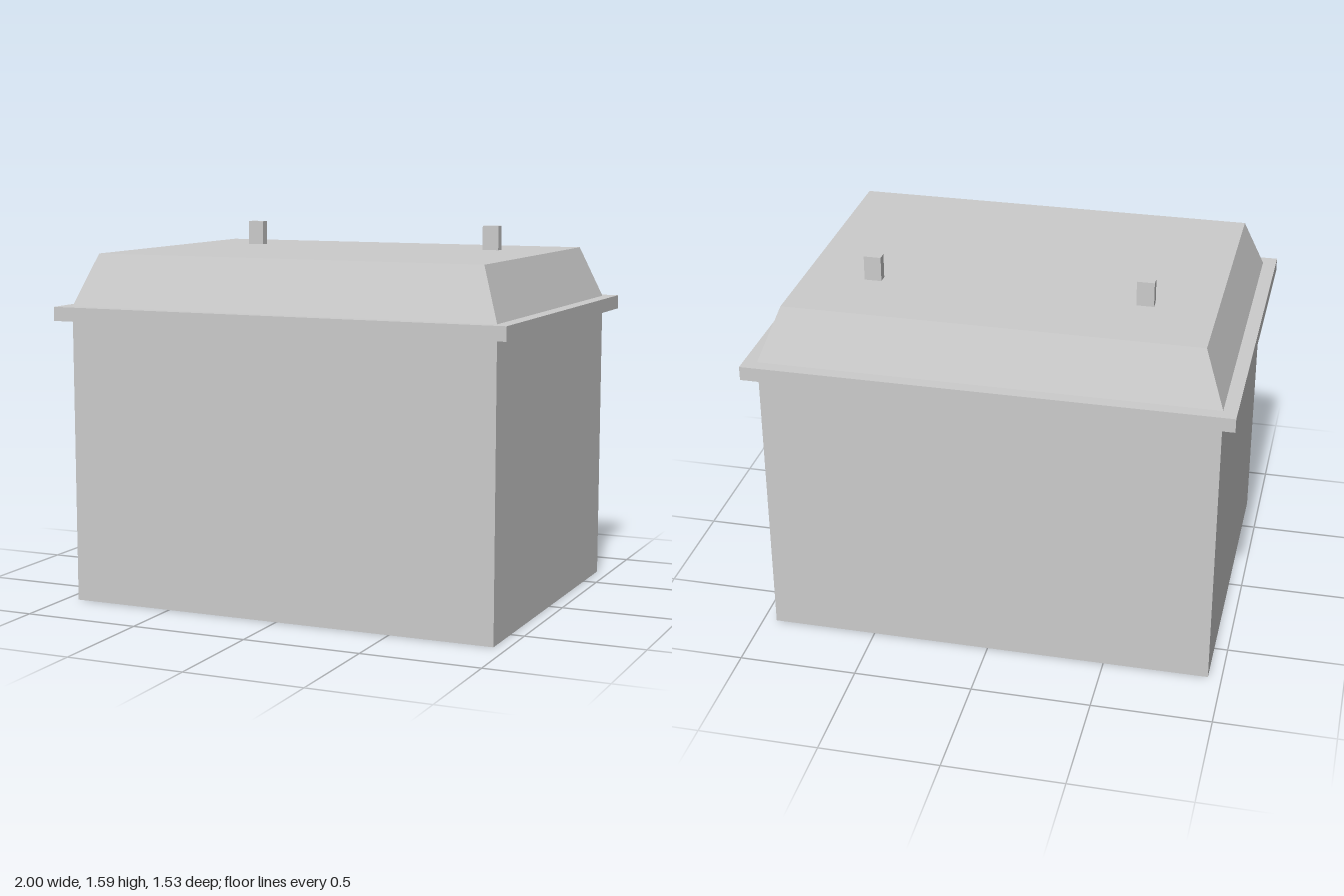
import * as THREE from 'three';

// Box from y0 to y1 whose top may be narrower; skip lists the sides left open
// (box side order: 0 +x, 1 -x, 2 top, 3 bottom, 4 +z, 5 -z).
function taperedBox(width, depth, y0, y1, topWidth = width, topDepth = depth, skip = []) {
  const box = new THREE.BoxGeometry(width, y1 - y0, depth);
  box.translate(0, (y0 + y1) / 2, 0);
  const kept = Array.from(box.index.array).filter((_, i) => !skip.includes(Math.floor(i / 6)));
  box.setIndex(kept);
  box.clearGroups();
  const p = box.attributes.position;
  const middle = (y0 + y1) / 2;
  for (let i = 0; i < p.count; i++) {
    if (p.getY(i) > middle) {
      p.setX(i, p.getX(i) * topWidth / width);
      p.setZ(i, p.getZ(i) * topDepth / depth);
    }
  }
  const geometry = box.toNonIndexed();
  geometry.computeVertexNormals();
  return geometry;
}

export function createModel() {
  const group = new THREE.Group();
  group.name = 'house';
  const grey = new THREE.MeshStandardMaterial({ color: 0xcccccc, side: THREE.DoubleSide });
  grey.name = 'light grey';

  const add = (name, geometry, x = 0, z = 0) => {
    const mesh = new THREE.Mesh(geometry, grey);
    mesh.name = name;
    mesh.position.set(x, 0, z);
    group.add(mesh);
  };

  const eaveBottom = 1.205, eaveTop = 1.264, roofTop = 1.483;

  // Four walls, open underneath
  add('walls', taperedBox(1.886, 1.414, 0, eaveBottom, 1.886, 1.414, [2, 3]));
  // Overhanging eave slab
  add('eaves', taperedBox(2, 1.526, eaveBottom, eaveTop));
  // Sloped roof with a flat top
  add('roof', taperedBox(1.886, 1.414, eaveTop, roofTop, 1.718, 1.248, [3]));
  // Pair of chimneys towards the back
  for (const side of [-1, 1]) {
    add(side > 0 ? 'leftChimney' : 'rightChimney',
      taperedBox(0.072, 0.042, roofTop, 1.587, 0.072, 0.042, [3]), side * 0.567, -0.285);
  }
  return group;
}
